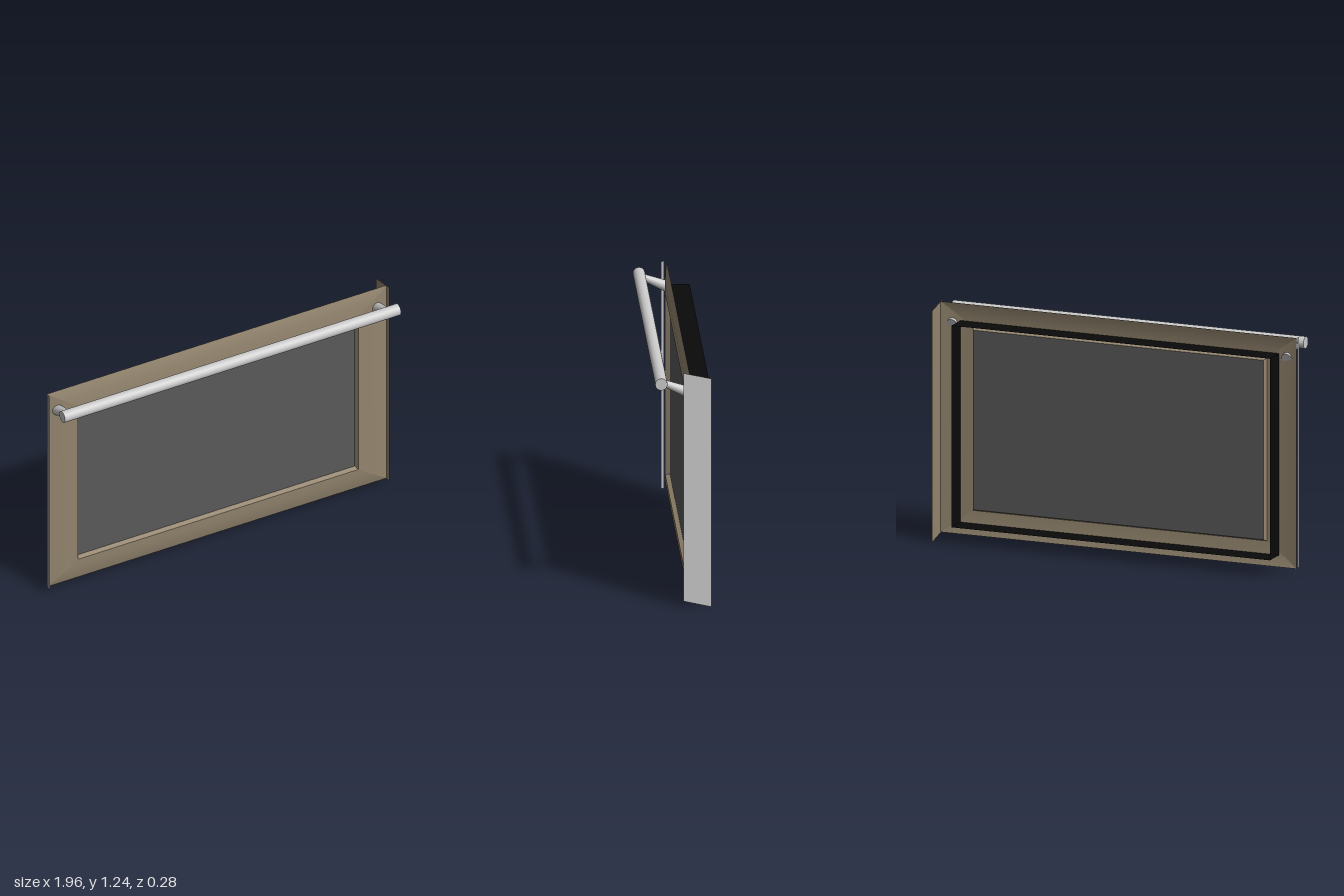
import * as THREE from 'three';

const material = (color, side = THREE.DoubleSide) => new THREE.MeshStandardMaterial({ color, side });

// Rectangular loops [x0, y0, x1, y1, z] joined side by side, with sharp mitred corners
function loftRectangles(loops) {
  const positions = [], indices = [];
  for (let side = 0; side < 4; side++) {
    const base = positions.length / 3;
    for (const [x0, y0, x1, y1, z] of loops) {
      const corners = [[x0, y0], [x1, y0], [x1, y1], [x0, y1]];
      positions.push(...corners[side], z, ...corners[(side + 1) % 4], z);
    }
    for (let i = 0; i < loops.length - 1; i++) {
      const a = base + i * 2;
      indices.push(a, a + 1, a + 3, a, a + 3, a + 2);
    }
  }
  const geometry = new THREE.BufferGeometry();
  geometry.setAttribute('position', new THREE.Float32BufferAttribute(positions, 3));
  geometry.setIndex(indices);
  geometry.computeVertexNormals();
  return geometry;
}

export function createModel() {
  const group = new THREE.Group();
  const add = (name, geometry, mat) => {
    const mesh = new THREE.Mesh(geometry, mat);
    mesh.name = name;
    group.add(mesh);
    return mesh;
  };
  const brown = material(0x94866f);
  const grey = material(0xcccccc);

  // Gently domed door frame, from its outer edge in to the window opening
  const outer = [-1, 0.03, 0.957, 1.232];
  const inner = [-0.83, 0.155, 0.785, 1.11];
  const profile = [[0, -0.03], [0.25, -0.022], [0.6, -0.015], [1, -0.012]];
  add('doorFrame', loftRectangles(profile.map(([t, z]) =>
    [...outer.map((v, i) => THREE.MathUtils.lerp(v, inner[i], t)), z])), brown);

  // Sloped lip down to the glass
  const pane = [-0.82, 0.165, 0.775, 1.1];
  add('windowLip', loftRectangles([[...inner, -0.012], [...pane, -0.035]]), brown);

  // Window glass
  const glass = add('windowGlass',
    new THREE.PlaneGeometry(pane[2] - pane[0], pane[3] - pane[1]), material(0x5a5a5a));
  glass.position.set((pane[0] + pane[2]) / 2, (pane[1] + pane[3]) / 2, -0.035);

  // Open black surround behind the frame
  const box = [-0.9, 0.09, 0.85, 1.14];
  add('rearSurround', loftRectangles([[...box, -0.14], [...box, -0.02]]), material(0x0a0a0a));

  // Side panel with slanted ends: grey outside, brown inside
  const panelShape = new THREE.Shape([[0, 0.032], [0.14, 0], [0.14, 1.205], [0, 1.236]]
    .map(([x, y]) => new THREE.Vector2(x, y)));
  const panel = new THREE.ShapeGeometry(panelShape).rotateY(Math.PI / 2).translate(0.957, 0, 0);
  add('sidePanelOutside', panel, material(0xcccccc, THREE.FrontSide));
  add('sidePanelInside', panel, material(0x94866f, THREE.BackSide));

  // Narrow trim on the opposite edge
  add('edgeTrim', new THREE.PlaneGeometry(0.016, 1.2).rotateY(-Math.PI / 2), grey)
    .position.set(-1, 0.632, -0.008);

  // Handle bar
  add('handleBar', new THREE.CylinderGeometry(0.031, 0.031, 1.935, 32).rotateZ(Math.PI / 2), grey)
    .position.set(-0.022, 1.175, 0.112);

  // Tapered brackets carrying the bar
  const foot = new THREE.Vector3(0, 1.118, -0.025);
  const head = new THREE.Vector3(0, 1.172, 0.105);
  const span = head.clone().sub(foot);
  for (const x of [-0.943, 0.897]) {
    const bracket = add('handleBracket',
      new THREE.CylinderGeometry(0.016, 0.029, span.length(), 20), grey);
    bracket.quaternion.setFromUnitVectors(new THREE.Vector3(0, 1, 0), span.clone().normalize());
    bracket.position.copy(foot).add(head).multiplyScalar(0.5).setX(x);
  }
  return group;
}
